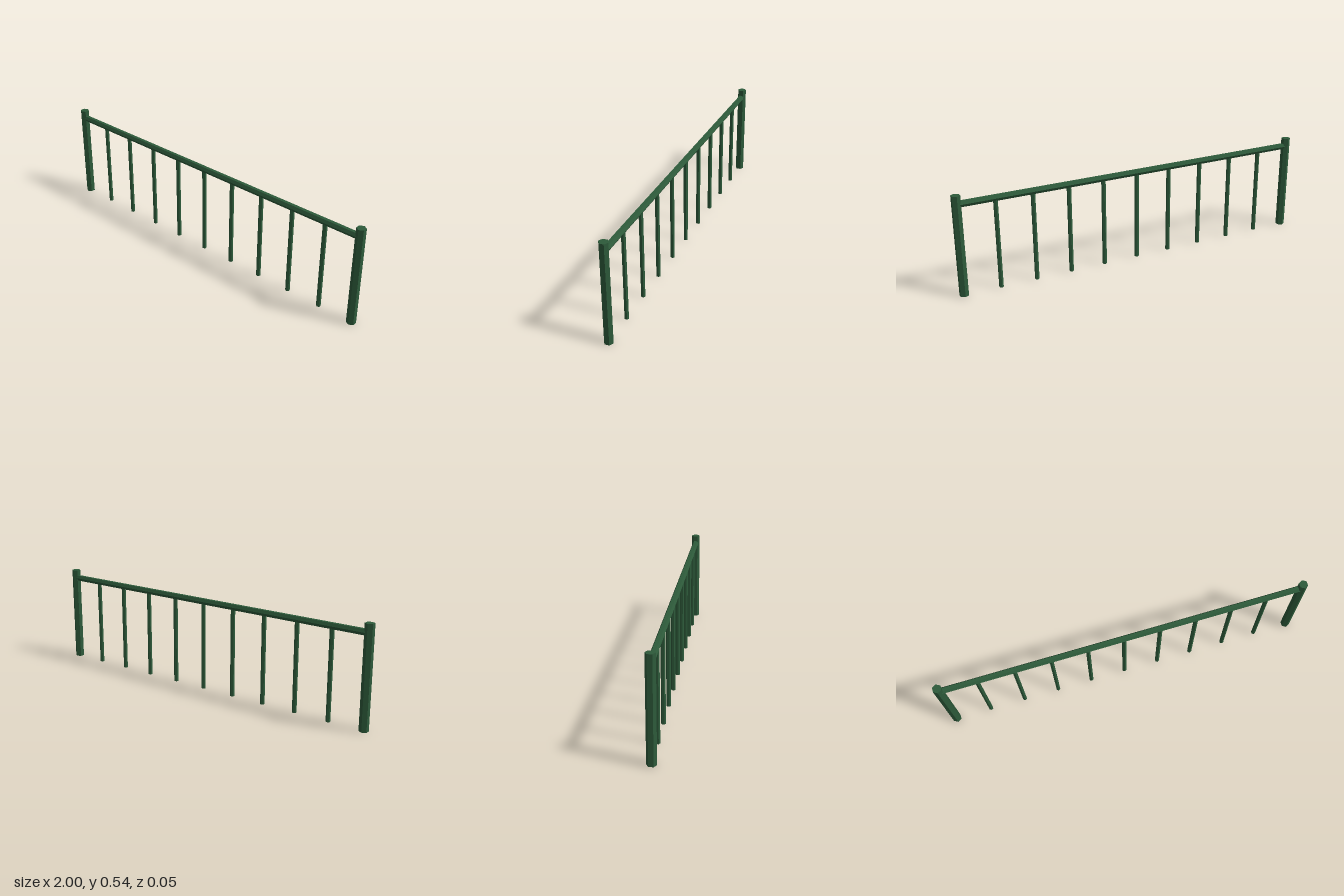
import * as THREE from 'three';

export function createModel() {
  const group = new THREE.Group();
  group.name = 'railing';
  const green = new THREE.MeshStandardMaterial({ color: 0x2d5a3a, flatShading: true });
  green.name = 'dark green paint';

  // Six-sided bar, one corner facing the front
  const bar = (name, radius, length, x, y) => {
    const mesh = new THREE.Mesh(new THREE.CylinderGeometry(radius, radius, length, 6), green);
    mesh.name = name;
    mesh.position.set(x, y, 0);
    group.add(mesh);
    return mesh;
  };

  const halfSpan = 0.979, postHeight = 0.538, railY = 0.491, bays = 10;

  // End posts
  bar('leftPost', 0.0245, postHeight, halfSpan, postHeight / 2);
  bar('rightPost', 0.0245, postHeight, -halfSpan, postHeight / 2);

  // Handrail between the post centres
  bar('handrail', 0.0174, halfSpan * 2, 0, railY).rotation.z = Math.PI / 2;

  // Evenly spaced balusters, reaching up into the rail
  for (let i = 1; i < bays; i++) {
    bar(`baluster${i}`, 0.0118, railY, -halfSpan + (2 * halfSpan * i) / bays, railY / 2);
  }
  return group;
}
